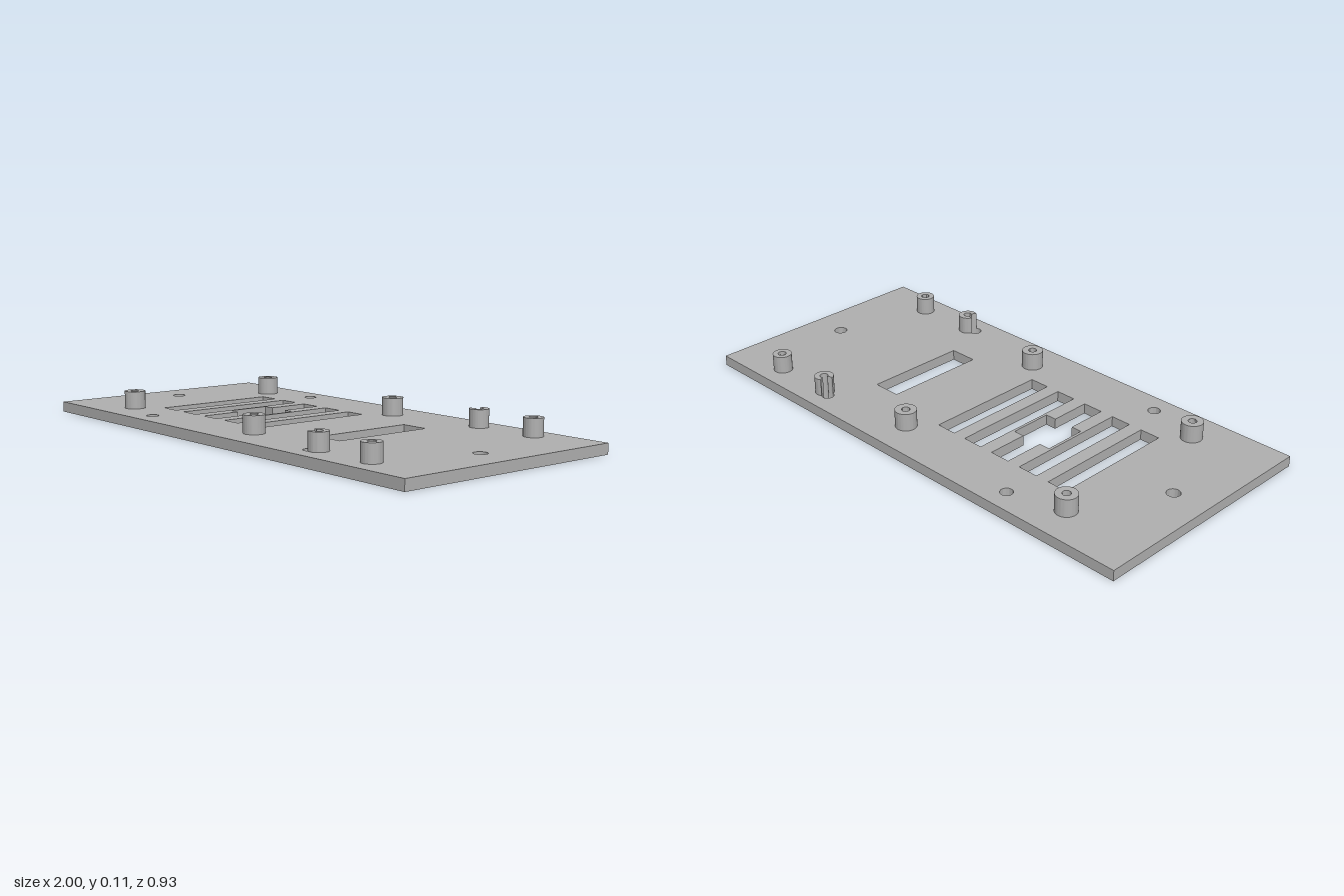
import * as THREE from 'three';
import { toCreasedNormals } from 'three/addons/utils/BufferGeometryUtils.js';

const PLATE_H = 0.04, TOP = 0.107, HALF_D = 0.467;
const PIN_R = 0.0155, BIG_R = 0.04, SMALL_R = 0.036, BOLT_R = 0.023;
const PI = Math.PI;

function circle(x, y, r) {
  return new THREE.Path().absarc(x, y, r, 0, PI * 2, false);
}

function polygon(points) {
  return new THREE.Path(points.map(([x, y]) => new THREE.Vector2(x, y)));
}

function rect(x0, x1, halfY) {
  return polygon([[x0, -halfY], [x1, -halfY], [x1, halfY], [x0, halfY]]);
}

// Extrude a ground-plan shape upwards between two heights
function extrudeUp(shape, y0, y1) {
  const geo = new THREE.ExtrudeGeometry(shape, { depth: y1 - y0, bevelEnabled: false, curveSegments: 32 });
  geo.rotateX(-PI / 2);
  geo.translate(0, y0, 0);
  return toCreasedNormals(geo, 0.6);
}

// Outlines where a bolt hole bites into a small standoff and its pin hole
const POST = { x: 0.497, y: 0.373 }, BOLT = { x: 0.465, y: 0.385 };
const D = Math.hypot(BOLT.x - POST.x, BOLT.y - POST.y);
const PHI = Math.atan2(BOLT.y - POST.y, BOLT.x - POST.x);
const meetAngle = (r, other) => Math.acos((D * D + r * r - other * other) / (2 * D * r));
const aOut = meetAngle(SMALL_R, BOLT_R), bOut = meetAngle(BOLT_R, SMALL_R);
const aPin = meetAngle(PIN_R, BOLT_R), bPin = meetAngle(BOLT_R, PIN_R);

// Turn a local outline towards the bolt, move it to the post, mirror it by side
function placed(path, side) {
  const origin = new THREE.Vector2();
  return path.getPoints(24).map((p) => {
    const q = p.clone().rotateAround(origin, PHI);
    return new THREE.Vector2(q.x + POST.x, (q.y + POST.y) * side);
  });
}

function notchedPost(side) {
  const p = new THREE.Path();
  p.absarc(0, 0, SMALL_R, aOut, 2 * PI - aOut, false);
  p.absarc(D, 0, BOLT_R, PI + bOut, PI + bPin, true);
  p.absarc(0, 0, PIN_R, 2 * PI - aPin, aPin, true);
  p.absarc(D, 0, BOLT_R, PI - bPin, PI - bOut, true);
  return new THREE.Shape(placed(p, side));
}

function keyhole(side) {
  const p = new THREE.Path();
  p.absarc(D, 0, BOLT_R, PI + bPin, 3 * PI - bPin, false);
  p.absarc(0, 0, PIN_R, aPin, 2 * PI - aPin, false);
  return new THREE.Path(placed(p, side));
}

export function createModel() {
  const model = new THREE.Group();
  model.name = 'mountingPlate';
  const grey = new THREE.MeshStandardMaterial({ color: 0xb0b0b0 });
  grey.name = 'grey';

  const add = (name, shape, y0, y1) => {
    const mesh = new THREE.Mesh(extrudeUp(shape, y0, y1), grey);
    mesh.name = name;
    model.add(mesh);
  };

  // Base plate outline
  const plate = new THREE.Shape();
  plate.moveTo(-1, -HALF_D);
  plate.lineTo(1, -HALF_D);
  plate.lineTo(1, HALF_D);
  plate.lineTo(-1, HALF_D);
  plate.closePath();

  // Ventilation slots, the middle one widened by a square
  const slotW = 0.08, slotH = 0.243, sq = 0.083;
  for (let i = 0; i < 5; i++) {
    const x = -0.602 + i * 0.1337, x1 = x + slotW, c = x + slotW / 2;
    if (i !== 2) plate.holes.push(rect(x, x1, slotH));
    else plate.holes.push(polygon([
      [x, -slotH], [x1, -slotH], [x1, -sq], [c + sq, -sq], [c + sq, sq], [x1, sq],
      [x1, slotH], [x, slotH], [x, sq], [c - sq, sq], [c - sq, -sq], [x, -sq],
    ]));
  }

  // Cable window and end holes
  plate.holes.push(rect(0.29, 0.4, 0.2), circle(-0.86, 0, 0.025), circle(0.858, 0, 0.025));

  // Standoffs, each with a pin hole through the plate, on both sides
  const posts = [[-0.68, 0.328, BIG_R], [0.092, 0.328, BIG_R], [0.752, 0.373, SMALL_R]];
  for (const side of [1, -1]) {
    const end = side > 0 ? 'Back' : 'Front';
    posts.forEach(([x, y, r], i) => {
      plate.holes.push(circle(x, y * side, PIN_R));
      const ring = new THREE.Shape();
      ring.absarc(x, y * side, r, 0, PI * 2, false);
      ring.holes.push(circle(x, y * side, PIN_R));
      add(`standoff${end}${i + 1}`, ring, PLATE_H, TOP);
    });
    plate.holes.push(circle(-0.467, BOLT.y * side, BOLT_R), keyhole(side));
    add(`notchedStandoff${end}`, notchedPost(side), PLATE_H, TOP);
  }

  add('basePlate', plate, 0, PLATE_H);
  return model;
}
